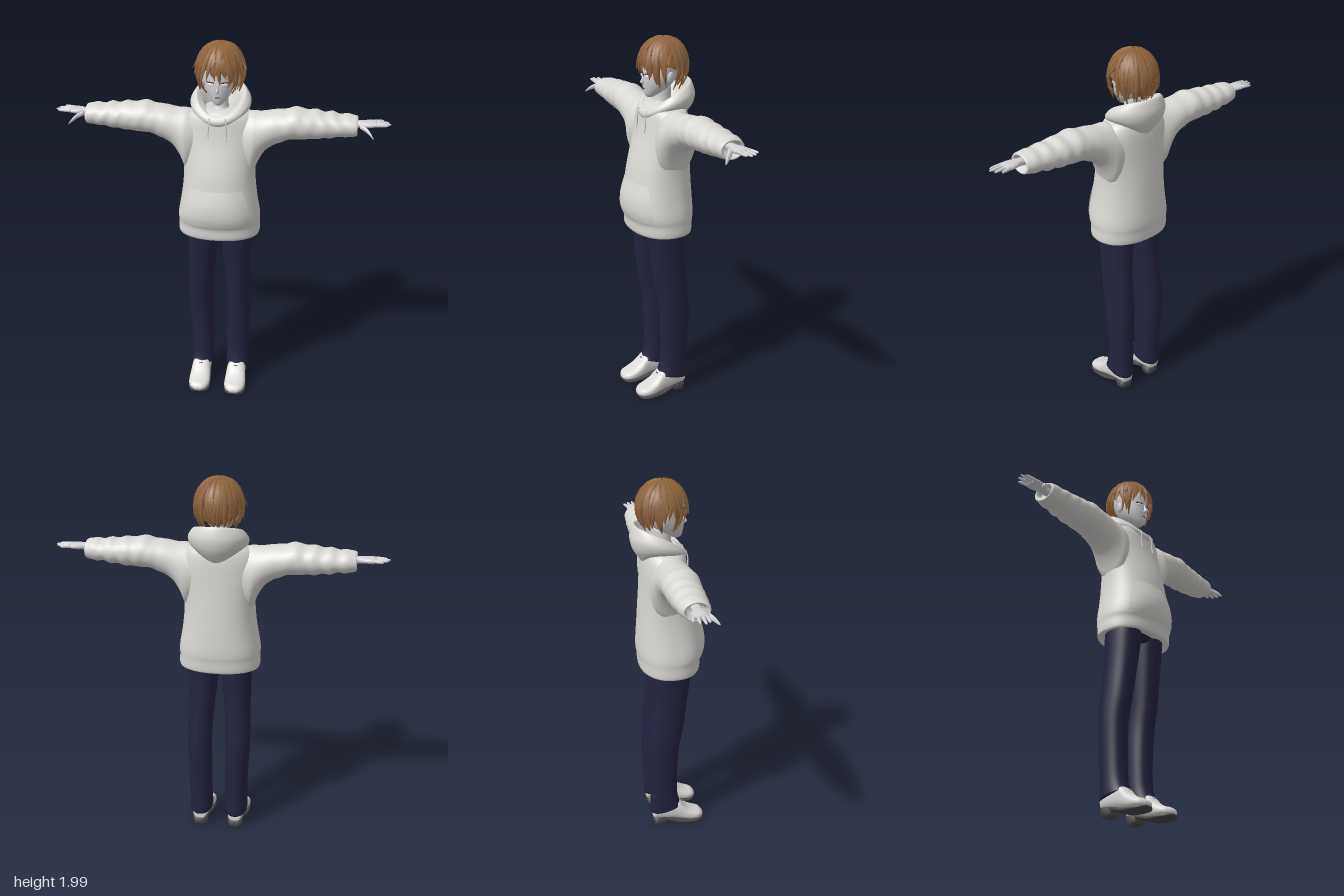
import * as THREE from 'three';
import { mergeGeometries } from 'three/addons/utils/BufferGeometryUtils.js';

const mat = (name, color, side = THREE.FrontSide) => new THREE.MeshStandardMaterial({ name, color, side });

// Surface from rows of points; closed joins the last column to the first
function grid(rows, closed) {
  const n = rows[0].length, index = [];
  for (let i = 0; i < rows.length - 1; i++) {
    for (let j = 0; j < (closed ? n : n - 1); j++) {
      const k = (j + 1) % n, a = i * n + j, c = i * n + k;
      index.push(a, a + n, c, a + n, c + n, c);
    }
  }
  const g = new THREE.BufferGeometry();
  g.setAttribute('position', new THREE.Float32BufferAttribute(rows.flat(2), 3));
  g.setIndex(index);
  g.computeVertexNormals();
  return g;
}

// Smoothly resample rings with a Catmull-Rom rule
function resample(rings, sub) {
  const out = [], at = i => rings[Math.min(Math.max(i, 0), rings.length - 1)];
  for (let i = 0; i < rings.length - 1; i++) {
    for (let s = 0; s < sub; s++) {
      const t = s / sub, [p, q, r, u] = [at(i - 1), at(i), at(i + 1), at(i + 2)];
      out.push(q.map((_, k) => q[k] + 0.5 * t * (r[k] - p[k] + t * (2 * p[k] - 5 * q[k] + 4 * r[k] - u[k]
        + t * (3 * (q[k] - r[k]) + u[k] - p[k])))));
    }
  }
  return [...out, at(rings.length)];
}

// Rings are [t, u0, u1, w0, w1]: y axis uses u=x, w=z; x axis u=z, w=y; z axis u=y, w=x
function loft(axis, rings, { n = 28, e = 2, sub = 3, shape = () => 1 } = {}) {
  const sp = v => Math.sign(v) * Math.abs(v) ** (2 / e);
  const place = { y: (t, u, w) => [u, t, w], x: (t, u, w) => [t, w, u], z: (t, u, w) => [w, u, t] }[axis];
  const row = ([t, u0, u1, w0, w1], k = 1) => Array.from({ length: n }, (_, j) => {
    const a = j / n * Math.PI * 2, m = k * shape(a, t) / 2;
    return place(t, (u0 + u1) / 2 + sp(Math.cos(a)) * (u1 - u0) * m, (w0 + w1) / 2 + sp(Math.sin(a)) * (w1 - w0) * m);
  });
  const r = resample(rings, sub);
  return grid([row(r[0], 0), ...r.map(q => row(q)), row(r[r.length - 1], 0)], true);
}

function mirrored(geo) {
  const g = geo.clone().scale(-1, 1, 1), ix = g.index.array;
  for (let i = 0; i < ix.length; i += 3) [ix[i], ix[i + 1]] = [ix[i + 1], ix[i]];
  return g;
}

export function createModel() {
  const root = new THREE.Group();
  const cloth = mat('hoodie grey', 0xd9d7d3, THREE.DoubleSide), skin = mat('pale skin', 0xd2d1d4);
  const navy = mat('trouser navy', 0x23233f), brown = mat('hair brown', 0x94683f, THREE.DoubleSide);
  const shoe = mat('shoe white', 0xdbd9d6), sole = mat('sole grey', 0x484848);
  const white = mat('eye white', 0xf2f2f2), dark = mat('lash dark', 0x4a3a35);
  const add = (name, geo, m) => {
    const mesh = new THREE.Mesh(geo, m);
    mesh.name = name;
    root.add(mesh);
  };
  const pair = (name, geo, m) => { add(name + 'Left', geo, m); add(name + 'Right', mirrored(geo), m); };

  // Hoodie body: height, half width, front, back
  const TORSO = [[0.985, 0.19, 0.14, -0.13], [0.968, 0.212, 0.158, -0.15], [0.985, 0.218, 0.168, -0.157],
    [1.03, 0.216, 0.171, -0.16], [1.06, 0.218, 0.185, -0.165], [1.1, 0.214, 0.19, -0.166], [1.16, 0.203, 0.185, -0.163],
    [1.24, 0.192, 0.17, -0.158], [1.32, 0.187, 0.155, -0.153], [1.4, 0.19, 0.133, -0.147], [1.48, 0.2, 0.11, -0.142],
    [1.55, 0.2, 0.096, -0.138], [1.6, 0.185, 0.088, -0.132], [1.635, 0.15, 0.075, -0.12], [1.655, 0.08, 0.04, -0.09]];
  add('hoodieBody', loft('y', TORSO.map(([y, w, f, b]) => [y, -w, w, b, f]), { n: 48, e: 2.25 }), cloth);
  const frontZ = (x, y) => {
    const i = Math.max(2, TORSO.findIndex((r, k) => k > 2 && r[0] >= y) - 1), p = TORSO[i], q = TORSO[i + 1];
    const [, w, f, b] = p.map((v, k) => v + (q[k] - v) * (y - p[0]) / (q[0] - p[0]));
    return (f + b) / 2 + (f - b) / 2 * Math.max(0, 1 - Math.abs(x / w) ** 2.25) ** (1 / 2.25);
  };

  // Front pocket with slanted hand openings
  const pocket = [];
  for (let i = 0; i <= 10; i++) {
    const y = 1.25 - i * 0.02, w = 0.135 + 0.045 * Math.min(1, i / 6.5);
    pocket.push(Array.from({ length: 21 }, (_, j) => {
      const x = (j / 10 - 1) * w;
      return [x, y, frontZ(x, y) + 0.009 * Math.sin(Math.PI * i / 10)];
    }));
  }
  add('pocket', grid(pocket, false), cloth);

  // Sleeves, folded in at the cuff: x, back, front, bottom, top
  const SLEEVE = [[0.1, -0.11, 0.07, 1.38, 1.62], [0.165, -0.122, 0.1, 1.3, 1.64], [0.2, -0.118, 0.094, 1.37, 1.64],
    [0.235, -0.114, 0.087, 1.43, 1.642], [0.28, -0.112, 0.084, 1.466, 1.65], [0.33, -0.112, 0.08, 1.487, 1.653],
    [0.37, -0.115, 0.08, 1.502, 1.664], [0.41, -0.114, 0.074, 1.5, 1.667], [0.45, -0.11, 0.073, 1.507, 1.654],
    [0.49, -0.112, 0.064, 1.505, 1.661], [0.53, -0.106, 0.067, 1.515, 1.646], [0.57, -0.108, 0.058, 1.514, 1.652],
    [0.61, -0.1, 0.06, 1.526, 1.64], [0.65, -0.1, 0.053, 1.525, 1.643], [0.685, -0.09, 0.052, 1.53, 1.638],
    [0.703, -0.084, 0.046, 1.535, 1.632], [0.7, -0.072, 0.034, 1.545, 1.622], [0.67, -0.06, 0.02, 1.56, 1.61]];
  pair('sleeve', loft('x', SLEEVE, { n: 32, shape: (a, t) => 1 + 0.018 * Math.sin(t * 95 + 3 * Math.sin(a)) * (t > 0.3 && t < 0.68) }), cloth);

  // Hood lying around the neck: each point is [radius, height] at the front, side and back
  const HOOD = [[[0.04, 1.63], [0.07, 1.645], [0.075, 1.62]], [[0.075, 1.63], [0.088, 1.675], [0.1, 1.67]],
    [[0.1, 1.63], [0.112, 1.705], [0.13, 1.755]], [[0.112, 1.63], [0.128, 1.717], [0.143, 1.767]],
    [[0.124, 1.618], [0.15, 1.695], [0.157, 1.73]], [[0.13, 1.605], [0.157, 1.672], [0.162, 1.69]],
    [[0.128, 1.59], [0.147, 1.645], [0.145, 1.63]], [[0.115, 1.575], [0.11, 1.62], [0.095, 1.56]]];
  add('hood', grid(resample(HOOD.map(p => p.flat()), 3).map(p => Array.from({ length: 48 }, (_, j) => {
    const a = j / 48 * Math.PI * 2, t = (1 - Math.cos(a)) / 2;
    const [r, y] = [0, 1].map(k => p[k] * (1 - t) * (1 - 2 * t) + p[k + 2] * 4 * t * (1 - t) + p[k + 4] * t * (2 * t - 1));
    return [r * Math.sin(a), y, -0.03 + r * Math.cos(a)];
  })), true), cloth);
  pair('drawstring', new THREE.TubeGeometry(new THREE.CatmullRomCurve3([[0.04, 1.625, 0.09], [0.044, 1.585, 0.1],
    [0.047, 1.54, 0.1], [0.045, 1.51, 0.108]].map(p => new THREE.Vector3(...p))), 12, 0.0035, 6), cloth);

  // Hands: palm, four fingers and a thumb
  const hand = [loft('x', [[0.64, -0.042, 0.004, 1.572, 1.612], [0.71, -0.044, 0.004, 1.577, 1.612], [0.74, -0.057, 0.016, 1.58, 1.612],
    [0.775, -0.066, 0.018, 1.583, 1.612], [0.8, -0.062, 0.012, 1.588, 1.609]], { n: 16, e: 2.4 })];
  [[0.006, 0.858, 0.002], [-0.015, 0.872, -0.018], [-0.036, 0.862, -0.044], [-0.056, 0.838, -0.07]].forEach(([z, x, ze]) => {
    const at = (s, r) => [0.785 + (x - 0.785) * s, z + (ze - z) * s - r, z + (ze - z) * s + r, 1.599 - r, 1.599 + r];
    hand.push(loft('x', [at(0, 0.0095), at(0.5, 0.0085), at(0.85, 0.0065), at(1, 0.002)], { n: 8 }));
  });
  hand.push(loft('x', [[0.715, -0.012, 0.018, 1.578, 1.602], [0.745, 0.008, 0.038, 1.568, 1.594],
    [0.768, 0.036, 0.058, 1.556, 1.576], [0.785, 0.062, 0.07, 1.545, 1.552]], { n: 10 }));
  pair('hand', mergeGeometries(hand), skin);

  // Trousers with pressed creases, joined by a hidden pelvis
  const LEG = [[0.095, 0.036, 0.163, -0.115, 0.062], [0.13, 0.036, 0.163, -0.115, 0.05], [0.2, 0.037, 0.163, -0.116, 0.035],
    [0.35, 0.037, 0.167, -0.123, 0.034], [0.5, 0.039, 0.174, -0.127, 0.043], [0.62, 0.036, 0.174, -0.115, 0.066],
    [0.8, 0.02, 0.171, -0.1, 0.09], [0.95, 0.005, 0.174, -0.096, 0.108], [1.02, 0, 0.176, -0.096, 0.112]];
  const leg = loft('y', LEG, { n: 40, e: 2.3, shape: a => 0.98 + 0.03 * Math.abs(Math.sin(a)) ** 30 });
  const lp = leg.attributes.position;
  for (let i = 0; i < lp.count; i++) {   // hem dips at the back
    if (lp.getY(i) < 0.13) lp.setY(i, lp.getY(i) + (lp.getZ(i) + 0.04) * 0.25 * (0.13 - lp.getY(i)) / 0.035);
  }
  leg.computeVertexNormals();
  pair('trouserLeg', leg, navy);
  add('pelvis', loft('y', [[0.955, -0.1, 0.1, -0.06, 0.07], [0.985, -0.165, 0.165, -0.09, 0.1], [1.08, -0.165, 0.165, -0.1, 0.11]]), navy);

  // Shoes: z, bottom, top, inner, outer
  pair('shoe', loft('z', [[-0.104, 0.045, 0.09, 0.078, 0.122], [-0.096, 0.036, 0.14, 0.06, 0.14], [-0.04, 0.03, 0.15, 0.052, 0.148],
    [0.02, 0.022, 0.15, 0.05, 0.152], [0.052, 0.016, 0.13, 0.047, 0.155], [0.085, 0.012, 0.094, 0.044, 0.159],
    [0.13, 0.01, 0.068, 0.043, 0.16], [0.165, 0.012, 0.056, 0.055, 0.148], [0.184, 0.02, 0.038, 0.08, 0.123]], { e: 2.5 }), shoe);
  pair('sole', loft('z', [[-0.035, 0.024, 0.045, 0.056, 0.144], [0.01, 0.012, 0.034, 0.052, 0.152], [0.05, 0.001, 0.024, 0.046, 0.158],
    [0.12, 0, 0.016, 0.042, 0.162], [0.165, 0.002, 0.017, 0.054, 0.15], [0.184, 0.01, 0.02, 0.08, 0.124]], { e: 4 }), sole);
  pair('heel', loft('y', [[0, 0.06, 0.14, -0.1, -0.03], [0.045, 0.056, 0.144, -0.105, -0.02]], { e: 3, sub: 1 }), sole);

  // Head, neck and face
  add('head', loft('y', [[1.688, -0.016, 0.016, 0.03, 0.066], [1.7, -0.03, 0.03, 0.005, 0.076], [1.73, -0.055, 0.055, -0.05, 0.083],
    [1.77, -0.074, 0.074, -0.09, 0.088], [1.82, -0.086, 0.086, -0.12, 0.087], [1.88, -0.092, 0.092, -0.13, 0.085],
    [1.94, -0.076, 0.076, -0.11, 0.06], [1.965, -0.04, 0.04, -0.07, 0.02]]), skin);
  add('neck', loft('y', [[1.58, -0.075, 0.075, -0.08, 0.06], [1.635, -0.055, 0.055, -0.075, 0.045], [1.67, -0.042, 0.042, -0.068, 0.022],
    [1.75, -0.042, 0.042, -0.07, 0.02]]), skin);
  add('nose', loft('y', [[1.757, -0.008, 0.008, 0.07, 0.09], [1.766, -0.009, 0.009, 0.07, 0.105], [1.785, -0.006, 0.006, 0.07, 0.097],
    [1.81, -0.005, 0.005, 0.07, 0.088]], { n: 12 }), skin);
  add('mouth', new THREE.BoxGeometry(0.024, 0.003, 0.006).translate(0, 1.733, 0.082), dark);
  const faceSide = (g, y) => g.rotateY(0.38).translate(0.036, y, 0.079);
  pair('eye', faceSide(new THREE.SphereGeometry(1, 16, 10).scale(0.018, 0.011, 0.004), 1.8), white);
  pair('lash', faceSide(new THREE.BoxGeometry(0.038, 0.004, 0.009), 1.811), dark);
  pair('ear', new THREE.SphereGeometry(1, 14, 10).scale(0.01, 0.03, 0.019).rotateZ(-0.15).translate(0.087, 1.795, -0.025), skin);

  // Hair: a scalp cap under layers of tapered locks; az is 0 at the front
  let seed = 7;
  const rnd = () => (seed = seed * 16807 % 2147483647) / 2147483647;
  const onHead = (az, th, k) => [0.12 * k * Math.sin(th) * Math.sin(az), 1.855 + 0.135 * k * Math.cos(th),
    -0.028 + 0.128 * k * Math.sin(th) * Math.cos(az)];
  const hairEnd = az => {
    const t = Math.abs(Math.atan2(Math.sin(az), Math.cos(az)));
    return t < 0.6 ? 1.85 : t < 1.05 ? 2.25 : t < 1.75 ? 1.85 : 2.4;
  };
  add('hairCap', grid(Array.from({ length: 15 }, (_, i) => Array.from({ length: 48 }, (_, j) => {
    const az = j / 48 * Math.PI * 2, t = (1 - Math.cos(az)) / 2;
    return onHead(az, (1.45 + 0.85 * t * t) * i / 14, 0.985);
  })), true), brown);
  const lock = (az, th0, th1, width, flare, twist) => grid(Array.from({ length: 9 }, (_, i) => {
    const s = i / 8, th = th0 + (th1 - th0) * s, c = az + twist * s * s, k = 1 + 0.02 * Math.sin(s * Math.PI) + flare * s ** 4;
    const w = width * Math.min(1, 0.5 + 2 * s) * (1 - s ** 3), d = w / Math.max(0.35, Math.sin(th));
    return [onHead(c - d, th, k), onHead(c, th, k + 0.28 * w), onHead(c + d, th, k), onHead(c, th, k - 0.05)];
  }), true);
  const locks = [];
  [[0.06, 18, 0, 0.19], [0.45, 22, -0.12, 0.16], [0.9, 26, -0.3, 0.14], [0.2, 14, -0.75, 0.15]].forEach(([th0, n, cut, w]) => {
    for (let i = 0; i < n; i++) {
      const az = (i + rnd() * 0.6) / n * Math.PI * 2, side = Math.abs(Math.sin(az));
      locks.push(lock(az, th0, hairEnd(az) + cut + (rnd() - 0.4) * 0.28, w * (0.85 + 0.3 * rnd()),
        0.03 + rnd() * (0.05 + 0.17 * side * (cut > -0.5)), (rnd() - 0.5) * 0.55));
    }
  });
  for (const m of [-1, 1]) locks.push(lock(m * 0.85, 0.5, 2.5, 0.13, 0.12, m * 0.1), lock(m * 1.05, 0.6, 2.3, 0.12, 0.2, m * 0.2));
  add('hairLocks', mergeGeometries(locks), brown);

  return root;
}
